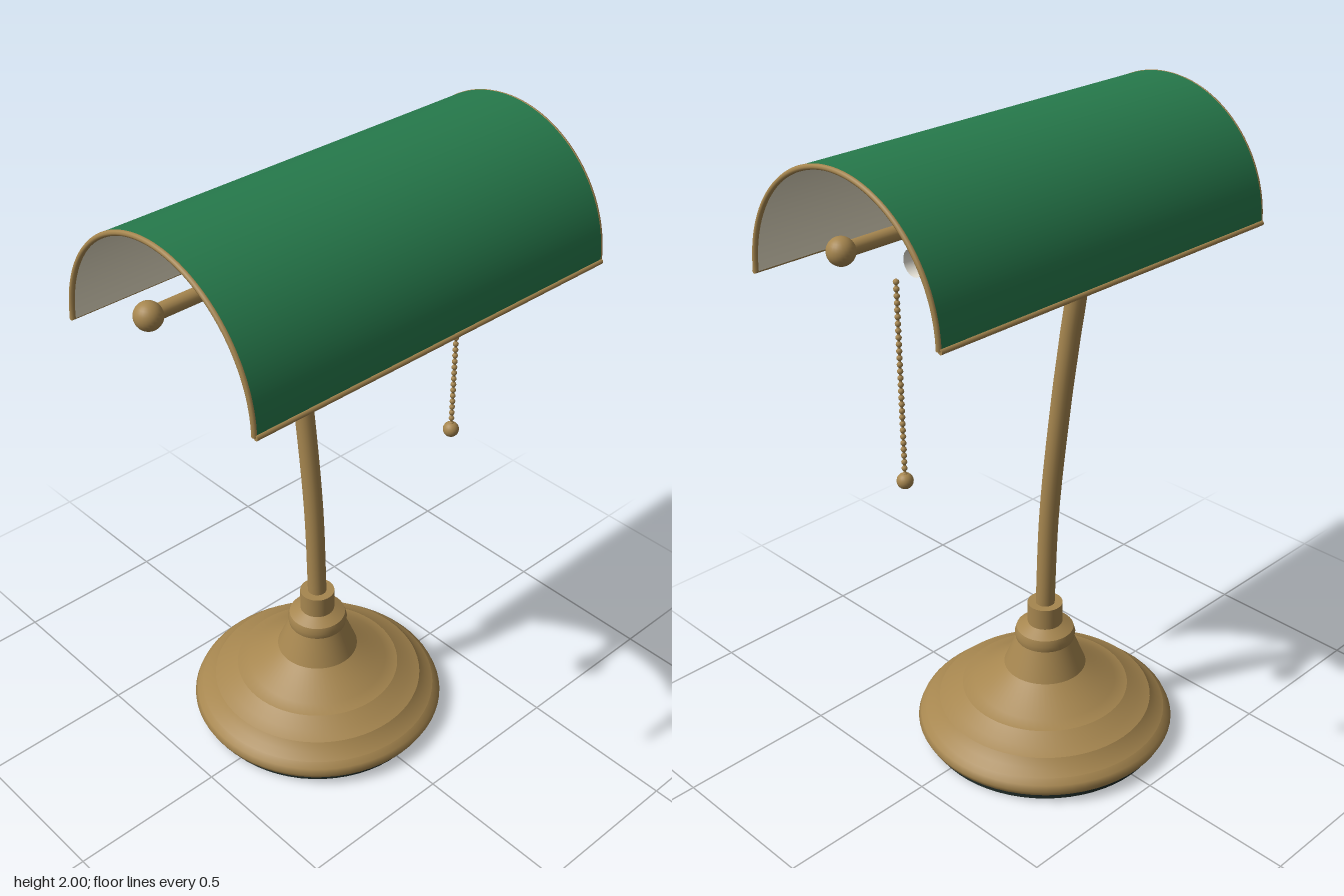
import * as THREE from 'three';

export function createModel() {
  const model = new THREE.Group();
  const material = (name, color, side = THREE.FrontSide) => {
    const m = new THREE.MeshStandardMaterial({ color, side });
    m.name = name;
    return m;
  };
  const brass = material('brass', 0xa6864f);
  const green = material('green glass', 0x26794b);
  const cream = material('cream lining', 0xe9e1c8, THREE.DoubleSide);
  const white = material('bulb white', 0xefebdf, THREE.DoubleSide);
  const felt = material('dark felt', 0x202b27);

  const add = (name, geometry, mat, x = 0, y = 0, z = 0, parent = model) => {
    const mesh = new THREE.Mesh(geometry, mat);
    mesh.name = name;
    mesh.position.set(x, y, z);
    parent.add(mesh);
    return mesh;
  };
  // Cylinder lying along the x axis
  const rodX = (r, length, sides = 20, open = false, arc = Math.PI * 2) =>
    new THREE.CylinderGeometry(r, r, length, sides, 1, open, 0, arc).rotateZ(Math.PI / 2);

  // Stepped round base with felt pad
  const baseZ = -0.044;
  const profile = [
    [0, 0.02], [0.38, 0.02], [0.4, 0.03], [0.41, 0.05], [0.402, 0.068], [0.385, 0.083],
    [0.36, 0.1], [0.34, 0.125], [0.305, 0.14], [0.265, 0.168], [0.225, 0.18], [0.13, 0.245],
    [0.092, 0.34], [0.096, 0.36], [0.09, 0.38], [0.055, 0.4], [0.055, 0.47], [0, 0.47],
  ].map(([r, y]) => new THREE.Vector2(r, y));
  // Each step gets its own smooth band, so the rings stay crisp
  const base = new THREE.Group();
  base.name = 'base';
  model.add(base);
  const bands = [[0, 1], [1, 5], [5, 7], [7, 9], [9, 11], [11, 12], [12, 14], [14, 15], [15, 16], [16, 17]];
  for (const [a, b] of bands) {
    add('baseBand', new THREE.LatheGeometry(profile.slice(a, b + 1), 64), brass, 0, 0, baseZ, base);
  }
  add('feltPad', new THREE.CylinderGeometry(0.38, 0.38, 0.021, 64), felt, 0, 0.0105, baseZ);

  // Curved stem with a hooked top
  const path = new THREE.CatmullRomCurve3([
    [0.44, -0.043], [0.8, -0.06], [1.2, -0.107], [1.4, -0.137], [1.6, -0.166],
    [1.68, -0.157], [1.75, -0.118], [1.795, -0.052], [1.812, 0.05],
  ].map(([y, z]) => new THREE.Vector3(0, y, z)));
  add('stem', new THREE.TubeGeometry(path, 80, 0.03, 20), brass);
  const cap = add('stemCap', new THREE.CircleGeometry(0.03, 20), brass);
  cap.position.copy(path.getPoint(1));
  cap.lookAt(path.getPoint(1).add(path.getTangent(1)));

  // Cross rod with end knobs
  add('crossRod', rodX(0.021, 1.28), brass, 0, 1.787, 0.053);
  for (const side of [-1, 1]) {
    add('knob', new THREE.SphereGeometry(0.039, 24, 16), brass, side * 0.641, 1.787, 0.053);
  }

  // Half-round shade: green outside, cream inside
  const shade = new THREE.Group();
  shade.name = 'shade';
  shade.position.set(0, 1.623, 0.07);
  model.add(shade);
  add('shadeOuter', rodX(0.377, 1.272, 64, true, Math.PI), green, 0, 0, 0, shade);
  add('shadeLining', rodX(0.366, 1.272, 64, true, Math.PI), cream, 0, 0, 0, shade);

  // Brass trim on the arched ends and long edges
  for (const side of [-1, 1]) {
    const arch = new THREE.TorusGeometry(0.37, 0.008, 8, 64, Math.PI).rotateY(Math.PI / 2);
    add('archTrim', arch, brass, side * 0.636, 0, 0, shade);
    add('edgeTrim', rodX(0.008, 1.276, 10), brass, 0, 0, side * 0.376, shade);
  }

  // Open tube bulb under the shade
  add('bulb', rodX(0.04, 0.78, 24, true), white, 0, 1.68, 0.07);

  // Beaded pull chain
  const chain = new THREE.Group();
  chain.name = 'pullChain';
  chain.position.set(0.402, 0, 0.13);
  model.add(chain);
  add('cord', new THREE.CylinderGeometry(0.004, 0.004, 0.6, 6), brass, 0, 1.315, 0, chain);
  const bead = new THREE.SphereGeometry(0.009, 8, 6);
  for (let i = 0; i < 30; i++) add('bead', bead, brass, 0, 1.613 - i * 0.0205, 0, chain);
  add('pullKnob', new THREE.SphereGeometry(0.025, 20, 14), brass, 0, 0.998, 0, chain);

  return model;
}
